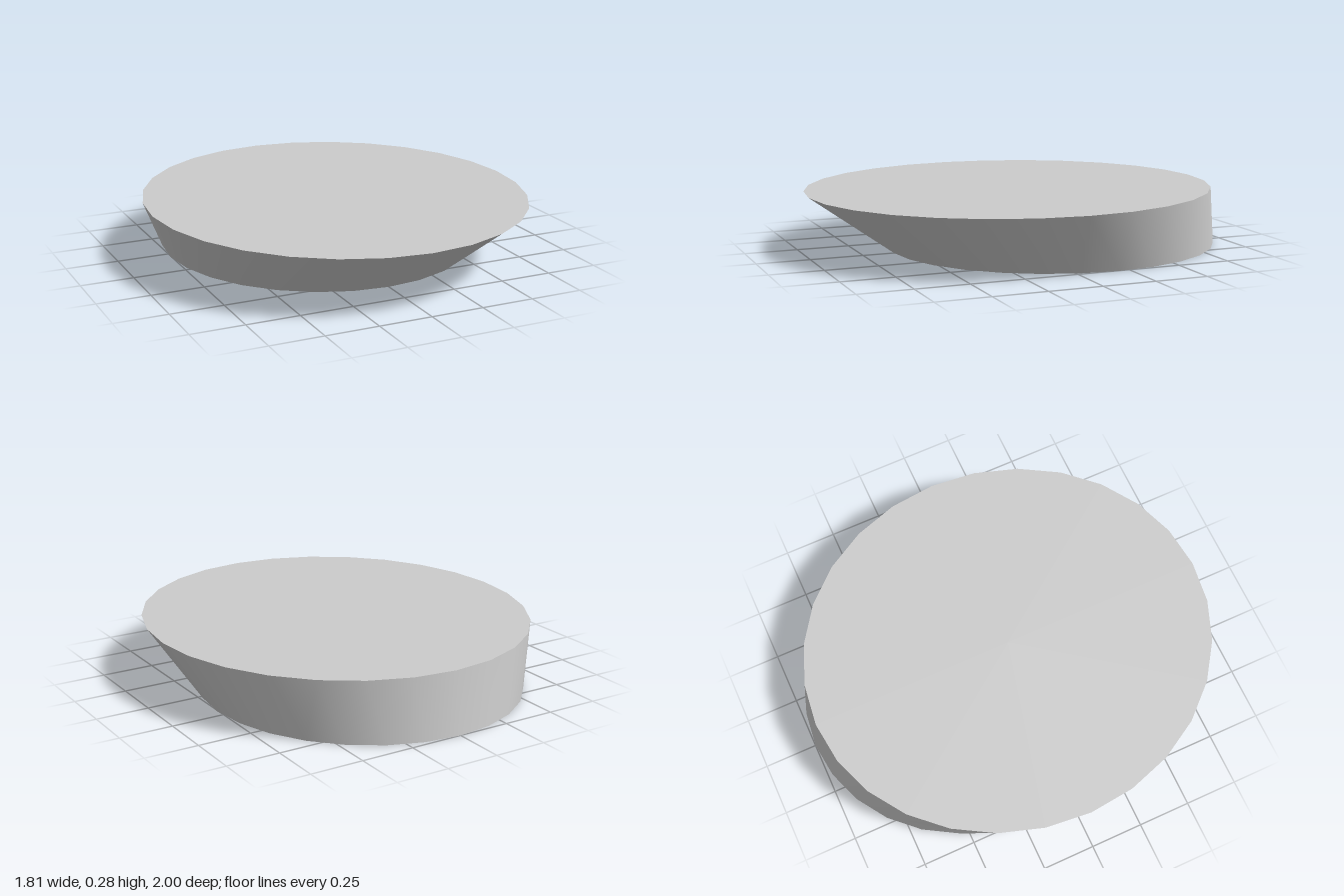
import * as THREE from 'three';
import { toCreasedNormals } from 'three/addons/utils/BufferGeometryUtils.js';

const HEIGHT = 0.285;
const TOP = { rx: 0.905, rz: 0.98, z: 0.02 };
const BASE = { rx: 0.755, rz: 0.8, z: -0.2 };

export function createModel() {
  const group = new THREE.Group();
  group.name = 'slantedOvalDisc';

  // Unit drum whose two rims are reshaped into offset ovals
  const drum = new THREE.CylinderGeometry(1, 1, HEIGHT, 28, 1);
  drum.translate(0, HEIGHT / 2, 0);
  const pos = drum.attributes.position;
  for (let i = 0; i < pos.count; i++) {
    const oval = pos.getY(i) > HEIGHT / 2 ? TOP : BASE;
    pos.setX(i, pos.getX(i) * oval.rx);
    pos.setZ(i, pos.getZ(i) * oval.rz + oval.z);
  }

  // Smooth wall, sharp rims
  const body = new THREE.Mesh(
    toCreasedNormals(drum, 0.42),
    new THREE.MeshStandardMaterial({ color: 0xcccccc })
  );
  body.name = 'discBody';
  group.add(body);
  return group;
}
